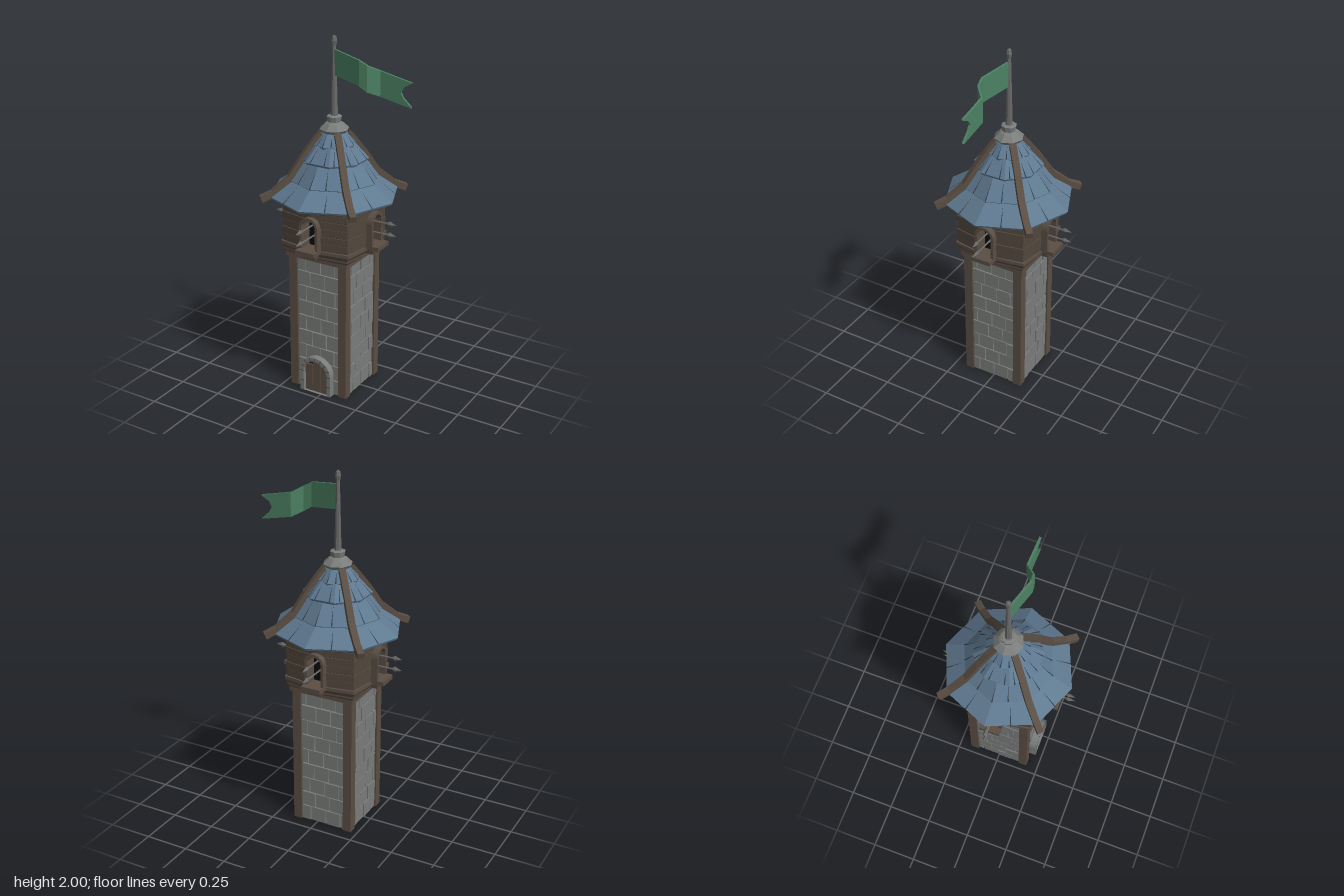
import * as THREE from 'three';

const paint = (name, color, extra = {}) => {
  const m = new THREE.MeshStandardMaterial({ color, ...extra });
  m.name = name;
  return m;
};
const flat = { flatShading: true };
const both = { side: THREE.DoubleSide, flatShading: true };

export function createModel() {
  const stone = paint('stone', 0x7a7d7b, flat);
  const mortar = paint('mortar', 0x454847, both);
  const wood = paint('wood', 0x5a4e44, flat);
  const plankWood = paint('plankWood', 0x51463c, flat);
  const gapWood = paint('gapWood', 0x2f2822, flat);
  const slate = paint('slate', 0x5f7990, flat);
  const slateGap = paint('slateGap', 0x2f3d49, both);
  const black = paint('black', 0x0b0b0c, flat);
  const iron = paint('iron', 0x696a68, flat);
  const cloth = paint('cloth', 0x4c8263, both);

  const model = new THREE.Group();
  const tower = new THREE.Group();
  tower.name = 'tower';
  tower.position.x = -0.035;
  model.add(tower);

  const add = (name, geo, mat, parent = tower, x = 0, y = 0, z = 0) => {
    const m = new THREE.Mesh(geo, mat);
    m.name = name;
    m.position.set(x, y, z);
    parent.add(m);
    return m;
  };
  const box = (name, w, h, d, mat, x, y, z, parent = tower) =>
    add(name, new THREE.BoxGeometry(w, h, d), mat, parent, x, y, z);
  const fromPoints = (p) => {
    const g = new THREE.BufferGeometry();
    g.setAttribute('position', new THREE.Float32BufferAttribute(p, 3));
    g.computeVertexNormals();
    return g;
  };
  const quad = (out, a, b, c, d) => out.push(...a, ...b, ...c, ...a, ...c, ...d);
  const lathe = (pts, n) => new THREE.LatheGeometry(pts.map((p) => new THREE.Vector2(...p)), n);
  let seed = 7;
  const rand = () => (seed = (seed * 16807) % 2147483647) / 2147483647;

  // Eight-sided ring point: even corners on the axes, odd ones on the diagonals
  const corner = (k, [ra, rd, y]) => {
    const r = k % 2 ? rd : ra, a = (k * Math.PI) / 4;
    return [r * Math.cos(a), y, -r * Math.sin(a)];
  };
  const loft = (rings) => {
    const p = [];
    for (let i = 0; i < rings.length - 1; i++)
      for (let k = 0; k < 8; k++)
        quad(p, corner(k, rings[i]), corner(k + 1, rings[i]), corner(k + 1, rings[i + 1]), corner(k, rings[i + 1]));
    return fromPoints(p);
  };
  const arch = (w, h, Kind = THREE.Shape) => {
    const s = new Kind();
    s.moveTo(-w / 2, 0);
    s.lineTo(w / 2, 0);
    s.absarc(0, h - w / 2, w / 2, 0, Math.PI, false);
    s.closePath();
    return s;
  };
  const extrude = (shape, depth) =>
    new THREE.ExtrudeGeometry(shape, { depth, bevelEnabled: false, curveSegments: 8 });
  const archFrame = (w, h, t, depth) => {
    const s = arch(w, h);
    s.holes.push(arch(w - 2 * t, h - t, THREE.Path));
    return extrude(s, depth);
  };

  // Shaft: hollow core, corner posts and staggered stone blocks
  add('shaftCore', new THREE.CylinderGeometry(0.151 * Math.SQRT2, 0.151 * Math.SQRT2, 0.82, 4, 1, true)
    .rotateY(Math.PI / 4), mortar, tower, 0, 0.41, 0);
  for (const x of [-1, 1]) for (const z of [-1, 1])
    box('cornerPost', 0.05, 0.81, 0.05, wood, x * 0.156, 0.405, z * 0.156);
  const rows = 9, rowH = 0.81 / rows;
  for (let side = 0; side < 4; side++) {
    const wall = new THREE.Group();
    wall.name = 'stoneWall';
    wall.rotation.y = (side * Math.PI) / 2;
    tower.add(wall);
    for (let r = 0; r < rows; r++) {
      const shift = (rand() - 0.5) * 0.03;
      const cuts = r % 2 ? [-0.132, -0.045 + shift, 0.045 + shift, 0.132]
        : [-0.132, -0.09 + shift, 0.005 + shift, 0.095 + shift, 0.132];
      for (let i = 0; i < cuts.length - 1; i++) {
        const w = cuts[i + 1] - cuts[i], out = rand() * 0.006;
        const b = box('stoneBlock', w - 0.005, rowH - 0.006, 0.018, stone,
          (cuts[i] + cuts[i + 1]) / 2, (r + 0.5) * rowH, 0.16 + out, wall);
        b.rotation.z = (rand() - 0.5) * 0.03;
      }
    }
  }

  // Door with stone surround and dark doorway behind it
  add('doorSurround', archFrame(0.195, 0.22, 0.022, 0.045), stone, tower, 0, 0, 0.167);
  add('doorGap', extrude(arch(0.152, 0.199), 0.02), gapWood, tower, 0, 0, 0.167);
  add('doorway', extrude(arch(0.152, 0.199), 0.004), black, tower, 0, 0, 0.145);
  for (let i = 0; i < 3; i++) {
    const x = (i - 1) * 0.049, h = i === 1 ? 0.192 : 0.165;
    box('doorPlank', 0.046, h, 0.012, wood, x, h / 2, 0.19);
  }
  for (let i = 0; i <= 8; i++) {
    // joints across the arch stones
    const a = (i * Math.PI) / 8;
    const j = box('archJoint', 0.022, 0.004, 0.004, mortar, Math.cos(a) * 0.0865, 0.1225 + Math.sin(a) * 0.0865, 0.2115);
    j.rotation.z = a;
  }
  for (const s of [-1, 1]) box('archJoint', 0.022, 0.004, 0.004, mortar, s * 0.0865, 0.06, 0.2115);

  // Flared underside of the watch room
  box('squareCollar', 0.385, 0.03, 0.385, wood, 0, 0.815, 0);
  add('flaredBase', loft([[0.01, 0.01, 0.825], [0.205, 0.27, 0.825], [0.225, 0.285, 0.84], [0.225, 0.285, 0.85],
    [0.245, 0.297, 0.872], [0.245, 0.297, 0.89], [0.01, 0.01, 0.89]]), wood);

  // Plank walls: each quarter is an L-shaped slab, leaving room for the windows
  const quarterWalls = (name, ra, rd, y, h, mat) => {
    const d = rd * Math.SQRT1_2, t = 0.23, e = ra + (d - ra) * t, f = d * t;
    const shape = new THREE.Shape([[e, f], [d, d], [f, e], [f, e - 0.05], [d - 0.05, d - 0.05], [e - 0.05, f]]
      .map((p) => new THREE.Vector2(...p)));
    for (let i = 0; i < 4; i++) {
      const m = add(name, extrude(shape, h).rotateX(-Math.PI / 2), mat, tower, 0, y, 0);
      m.rotation.y = (i * Math.PI) / 2;
    }
  };
  quarterWalls('plankGaps', 0.237, 0.281, 0.88, 0.184, gapWood);
  for (let i = 0; i < 4; i++) {
    const o = (i % 2) * 0.004;
    quarterWalls('plankRow', 0.241 + o, 0.286 + o, 0.892 + i * 0.043, 0.04, plankWood);
  }
  add('topPlankRow', loft([[0.15, 0.2, 1.064], [0.241, 0.286, 1.064], [0.241, 0.286, 1.106]]), plankWood);
  add('topBeam', loft([[0.23, 0.27, 1.105], [0.25, 0.296, 1.105], [0.25, 0.296, 1.15]]), wood);

  // Recessed windows with sills, brackets and spears on all four sides
  for (let side = 0; side < 4; side++) {
    const win = new THREE.Group();
    win.name = 'window';
    win.rotation.y = (side * Math.PI) / 2;
    tower.add(win);
    add('windowFrame', archFrame(0.114, 0.185, 0.015, 0.085), wood, win, 0, 0.895, 0.183);
    add('windowOpening', extrude(arch(0.11, 0.18), 0.006), black, win, 0, 0.895, 0.18);
    box('windowSill', 0.115, 0.024, 0.1, wood, 0, 0.889, 0.255, win);
    box('sillBracket', 0.075, 0.034, 0.06, plankWood, 0, 0.862, 0.23, win);
    for (const y of [0.963, 1.026]) {
      add('spearShaft', new THREE.CylinderGeometry(0.005, 0.005, 0.14, 6).rotateX(Math.PI / 2), iron, win, 0, y, 0.255);
      const head = add('spearHead', lathe([[0, 0], [0.017, 0.03], [0, 0.07]], 4), iron, win, 0, y, 0.314);
      head.rotation.x = Math.PI / 2;
      head.scale.x = 0.65;
    }
  }

  // Roof: soffit, then overlapping slate courses [lower radius, y, upper radius, y, splits, eighth-turns]
  add('soffit', loft([[0.22, 0.26, 1.16], [0.34, 0.34, 1.13], [0.352, 0.352, 1.148]]), wood);
  const courses = [
    [0.356, 1.148, 0.215, 1.25, [0.5], 0],
    [0.247, 1.232, 0.14, 1.365, [0, 0.45], 0],
    [0.186, 1.347, 0.095, 1.445, [0.2, 0.8], 0.5],
    [0.12, 1.425, 0.055, 1.5, [0, 0.5], 0],
  ];
  for (const [r0, y0, r1, y1, gaps, turn] of courses) {
    const course = new THREE.Group();
    course.name = 'roofCourse';
    course.rotation.y = (turn * Math.PI) / 4;
    tower.add(course);
    add('slateCourse', loft([[r0 - 0.04, r0 - 0.04, y0 + 0.014], [r0 - 0.006, r0 - 0.006, y0 - 0.012],
      [r0, r0, y0], [r1, r1, y1]]), slate, course);
    // tapering splits between the slates
    const p = [];
    for (let k = 0; k < 8; k++) for (const t of gaps) {
      if (t === 0 && k % 2) continue;
      const at = (f, u) => {
        const r = r0 + (r1 - r0) * f + 0.002, ring = [r, r, y0 + (y1 - y0) * f + 0.002];
        const j = u < 0 ? k + 7 : k, v = u < 0 ? u + 1 : u;
        const a = corner(j, ring), b = corner(j + 1, ring);
        return a.map((c, i) => c + (b[i] - c) * v);
      };
      const w = 0.0035 / (r0 * 0.765);
      p.push(...at(0, t - w), ...at(0, t + w), ...at(0.7, t));
    }
    add('slateSplits', fromPoints(p), slateGap, course);
  }

  // Curved ribs on the diagonals
  const ribPath = [[0.07, 1.478], [0.115, 1.425], [0.175, 1.345], [0.245, 1.238], [0.335, 1.162], [0.4, 1.135]];
  const ribShape = new THREE.Shape([...ribPath.map(([r, y]) => new THREE.Vector2(r - 0.004, y - 0.014)),
    ...ribPath.slice().reverse().map(([r, y]) => new THREE.Vector2(r + 0.008, y + 0.02))]);
  for (let i = 0; i < 4; i++) {
    const rib = add('roofRib', extrude(ribShape, 0.036).translate(0, 0, -0.018), wood);
    rib.rotation.y = Math.PI / 4 + (i * Math.PI) / 2;
  }

  // Stone cap, flagpole and finial
  add('roofCap', lathe([[0, 1.478], [0.066, 1.482], [0.081, 1.502], [0.05, 1.532], [0.036, 1.54], [0.042, 1.57],
    [0.03, 1.575], [0, 1.575]], 8), stone);
  add('flagpole', new THREE.CylinderGeometry(0.01, 0.02, 0.39, 8), iron, tower, 0, 1.76, 0);
  add('finial', lathe([[0, 1.938], [0.011, 1.945], [0.016, 1.97], [0.011, 1.992], [0, 2]], 6), iron);

  // Swallow-tailed flag; columns are [x, z, top, bottom]
  const flag = [];
  const strips = (columns) => {
    const section = ([x, z, t, o]) => [[x, o, z + 0.006], [x, t, z + 0.006], [x, t, z - 0.006], [x, o, z - 0.006]];
    for (let c = 0; c < columns.length - 1; c++) {
      const p = section(columns[c]), q = section(columns[c + 1]);
      for (let i = 0; i < 4; i++) {
        const j = (i + 1) % 4;
        quad(flag, p[i], q[i], q[j], p[j]);
      }
    }
  };
  strips([[0.005, 0.002, 1.927, 1.792], [0.18, 0.05, 1.902, 1.768], [0.225, 0.045, 1.878, 1.74],
    [0.275, -0.004, 1.848, 1.714], [0.392, -0.004, 1.823, 1.69]]);
  strips([[0.392, -0.004, 1.823, 1.752], [0.408, -0.004, 1.82, 1.782], [0.453, -0.004, 1.811, 1.805]]);
  strips([[0.392, -0.004, 1.752, 1.69], [0.408, -0.004, 1.724, 1.687], [0.453, -0.004, 1.684, 1.678]]);
  add('flag', fromPoints(flag), cloth);

  return model;
}
